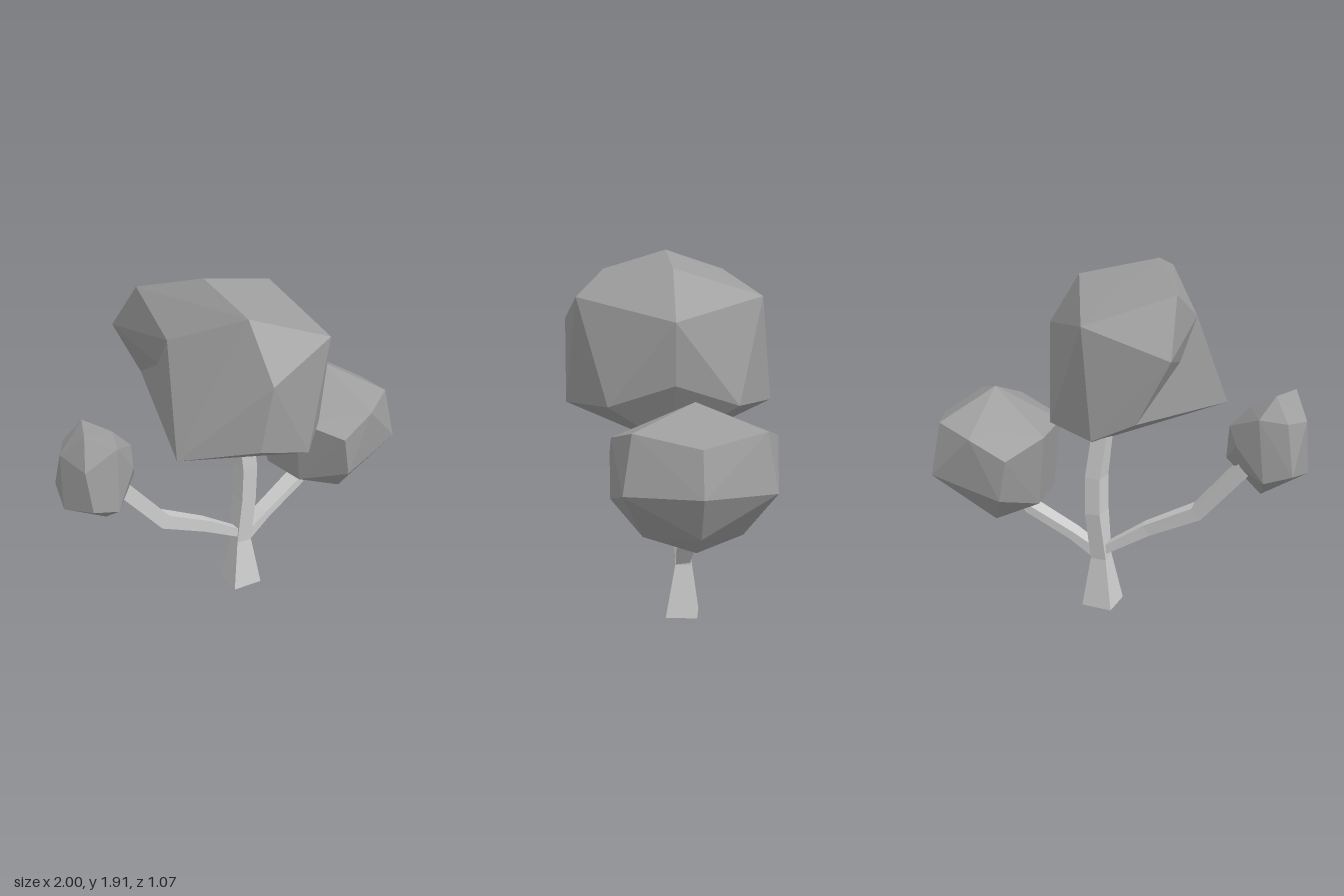
import * as THREE from 'three';
import { ConvexGeometry } from 'three/addons/geometries/ConvexGeometry.js';

const bark = new THREE.MeshStandardMaterial({ color: 0xcccccc, flatShading: true });
const leaves = new THREE.MeshStandardMaterial({ color: 0x9c9c9c, flatShading: true });

// Faceted leaf clump from its corner points
function clump(name, corners) {
  const geo = new ConvexGeometry(corners.map((p) => new THREE.Vector3(...p)));
  const mesh = new THREE.Mesh(geo, leaves);
  mesh.name = name;
  return mesh;
}

// Corner on both sides of the plane z = mid
const pair = (x, y, mid, dz) => [[x, y, mid + dz], [x, y, mid - dz]];

// Four-sided tapering limb, twisted about its length;
// each station is [x, y, z, halfWidth, halfDepth]
function limb(name, stations, twist = 0) {
  const pos = [], index = [];
  const cos = Math.cos(twist), sin = Math.sin(twist);
  stations.forEach(([x, y, z, w, d], i) => {
    const a = stations[Math.max(i - 1, 0)];
    const b = stations[Math.min(i + 1, stations.length - 1)];
    const len = Math.hypot(b[0] - a[0], b[1] - a[1]);
    const nx = (b[1] - a[1]) / len, ny = -(b[0] - a[0]) / len;
    for (const [s, t] of [[1, 1], [1, -1], [-1, -1], [-1, 1]]) {
      const across = s * w * cos - t * d * sin;
      pos.push(x + across * nx, y + across * ny, z + t * d * cos + s * w * sin);
    }
    if (i === 0) return;
    for (let k = 0; k < 4; k++) {
      const p = (i - 1) * 4 + k, q = (i - 1) * 4 + (k + 1) % 4;
      index.push(p, q, q + 4, p, q + 4, p + 4);
    }
  });
  // End caps
  const e = (stations.length - 1) * 4;
  index.push(0, 2, 1, 0, 3, 2, e, e + 1, e + 2, e, e + 2, e + 3);
  const geo = new THREE.BufferGeometry();
  geo.setAttribute('position', new THREE.Float32BufferAttribute(pos, 3));
  geo.setIndex(index);
  const flat = geo.toNonIndexed();
  flat.computeVertexNormals();
  const mesh = new THREE.Mesh(flat, bark);
  mesh.name = name;
  return mesh;
}

export function createModel() {
  const tree = new THREE.Group();
  tree.name = 'tree';

  // Trunk and the two side branches
  tree.add(limb('trunk', [
    [0.07, 0.012, -0.063, 0.085, 0.082],
    [0.075, 0.29, -0.068, 0.044, 0.04],
    [0.098, 0.56, -0.07, 0.043, 0.058],
    [0.1, 0.76, -0.06, 0.043, 0.055],
    [0.07, 1.0, -0.05, 0.042, 0.042],
  ], 0.16));
  tree.add(limb('rightBranch', [
    [0.07, 0.33, -0.07, 0.022, 0.03],
    [-0.18, 0.49, -0.07, 0.032, 0.035],
    [-0.45, 0.63, -0.085, 0.038, 0.045],
    [-0.69, 0.92, -0.11, 0.038, 0.06],
  ]));
  tree.add(limb('leftBranch', [
    [0.09, 0.31, -0.06, 0.03, 0.035],
    [0.23, 0.41, -0.06, 0.023, 0.045],
    [0.47, 0.54, -0.06, 0.023, 0.05],
    [0.54, 0.68, -0.06, 0.03, 0.05],
  ]));

  // Large crown: main mass, and a low spur jutting out to the right
  const spurTop = [-0.41, 1.65, -0.03], backLow = [-0.23, 1.245, -0.535], keel = [0.14, 0.92, 0];
  const front = [[-0.21, 1.82, 0.33], [-0.23, 1.56, 0.535], [-0.3, 1.245, 0.53], [0, 1.14, 0.535]];
  const crown = new THREE.Group();
  crown.name = 'crown';
  crown.add(clump('crownMass', [
    spurTop, backLow, keel, ...front,
    [-0.21, 1.92, 0], [0.2, 1.82, 0], [-0.37, 1.82, -0.33],
    [0.17, 1.68, 0.48], [0.05, 1.68, -0.48], [0.36, 1.56, 0], [-0.39, 1.56, -0.535],
    [0.34, 1.25, 0], ...pair(0.26, 1.14, 0, 0.33), [-0.01, 1.14, -0.535],
  ]));
  crown.add(clump('crownSpur', [spurTop, backLow, keel, ...front, [-0.54, 1.14, 0.2]]));
  tree.add(crown);

  // Medium clump on the left branch
  const m = -0.06;
  tree.add(clump('leftClump', [
    [0.65, 1.21, m], [0.95, 1.035, m], [1, 0.82, m], [0.9, 0.62, m], [0.71, 0.51, m],
    ...pair(0.65, 1.05, m, 0.39), ...pair(0.84, 1.095, m, 0.305), ...pair(0.88, 0.82, m, 0.35),
    ...pair(0.46, 0.95, m, 0.39), ...pair(0.5, 0.73, m, 0.39),
    ...pair(0.58, 0.56, m, 0.24), ...pair(0.34, 1, m, 0.14), ...pair(0.38, 0.62, m, 0.13),
  ]));

  // Small clump on the right branch
  const s = -0.1;
  tree.add(clump('rightClump', [
    [-0.91, 1.31, -0.01], [-0.83, 1.315, -0.16], [-0.7, 1.23, s], [-0.6, 1.12, s],
    [-0.59, 0.95, s], [-0.67, 0.88, s], [-0.77, 0.77, s], [-1, 0.91, s],
    [-0.98, 1.19, -0.13], [-0.9, 1.2, -0.23], [-0.955, 1.16, 0.05],
    ...pair(-0.76, 1.21, s, 0.13), ...pair(-0.65, 1.05, s, 0.09),
    ...pair(-0.8, 0.9, s, 0.175), ...pair(-0.94, 0.95, s, 0.175),
  ]));

  return tree;
}
